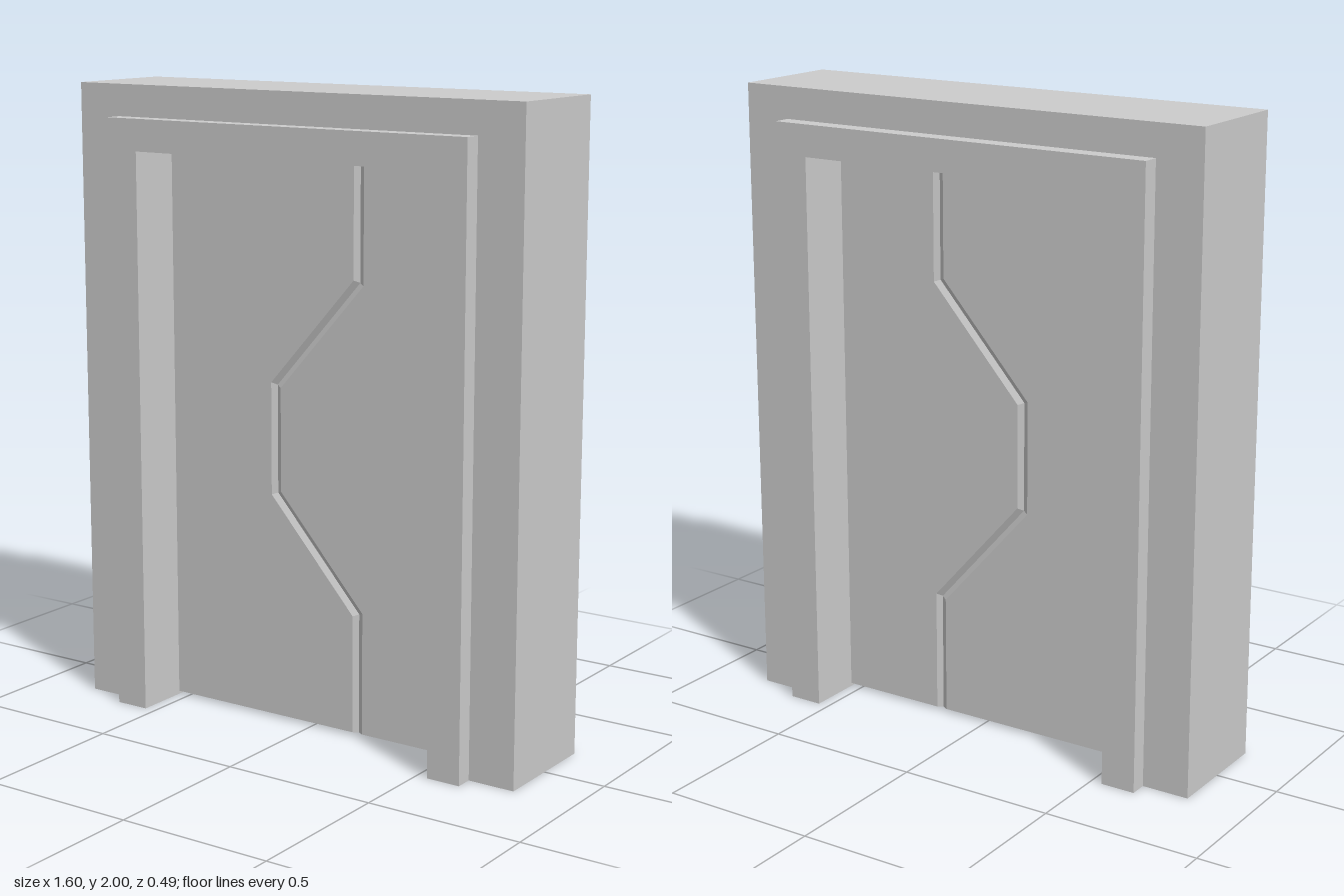
import * as THREE from 'three';

const grey = new THREE.MeshStandardMaterial({ color: 0xcccccc, flatShading: true });

// Upside-down U standing on the floor, extruded symmetrically about z = 0
function portal(name, outerX, outerY, innerX, innerY, depth) {
  const shape = new THREE.Shape([
    [-outerX, 0], [-innerX, 0], [-innerX, innerY], [innerX, innerY],
    [innerX, 0], [outerX, 0], [outerX, outerY], [-outerX, outerY],
  ].map(([x, y]) => new THREE.Vector2(x, y)));
  const geo = new THREE.ExtrudeGeometry(shape, { depth, bevelEnabled: false });
  geo.translate(0, 0, -depth / 2);
  const mesh = new THREE.Mesh(geo, grey);
  mesh.name = name;
  return mesh;
}

// Door slab with a mitred V groove along the zigzag seam on both faces
function doorPanel(halfWidth, halfDepth) {
  const groove = 0.018, sink = 0.01, miter = 0.38 * groove;
  // seam: x, y, miter direction
  const seam = [
    [0.17, 0.01, 0], [0.17, 0.395, -1], [-0.137, 0.74, -1],
    [-0.137, 1.085, 1], [0.17, 1.43, 1], [0.17, 1.8, 0],
  ];
  const pos = [], index = [];
  for (const [x, y, k] of seam) {
    const front = [
      [-halfWidth, y, halfDepth],
      [x - groove, y + k * miter, halfDepth],
      [x, y, halfDepth - sink],
      [x + groove, y - k * miter, halfDepth],
      [halfWidth, y, halfDepth],
    ];
    const back = front.map(([px, py, pz]) => [px, py, -pz]).reverse();
    pos.push(...front.flat(), ...back.flat());
  }
  const n = 10;
  for (let r = 0; r < seam.length - 1; r++) {
    for (let i = 0; i < n; i++) {
      const a = r * n + i, b = r * n + (i + 1) % n;
      index.push(a, b, b + n, a, b + n, a + n);
    }
  }
  // bottom and top ends
  const top = (seam.length - 1) * n;
  for (let i = 0; i < 4; i++) {
    const a = i, b = i + 1, c = n - 2 - i, d = n - 1 - i;
    index.push(a, c, b, a, d, c);
    index.push(top + a, top + b, top + c, top + a, top + c, top + d);
  }
  const geo = new THREE.BufferGeometry();
  geo.setAttribute('position', new THREE.Float32BufferAttribute(pos, 3));
  geo.setIndex(index);
  const flat = geo.toNonIndexed();
  flat.computeVertexNormals();
  const mesh = new THREE.Mesh(flat, grey);
  mesh.name = 'doorPanel';
  return mesh;
}

export function createModel() {
  const model = new THREE.Group();
  model.name = 'slidingDoor';
  model.add(
    portal('wall', 0.8, 2, 0.6, 1.85, 0.374),
    portal('doorFrame', 0.648, 1.9, 0.537, 1.8, 0.486),
    doorPanel(0.537, 0.067),
  );
  return model;
}
